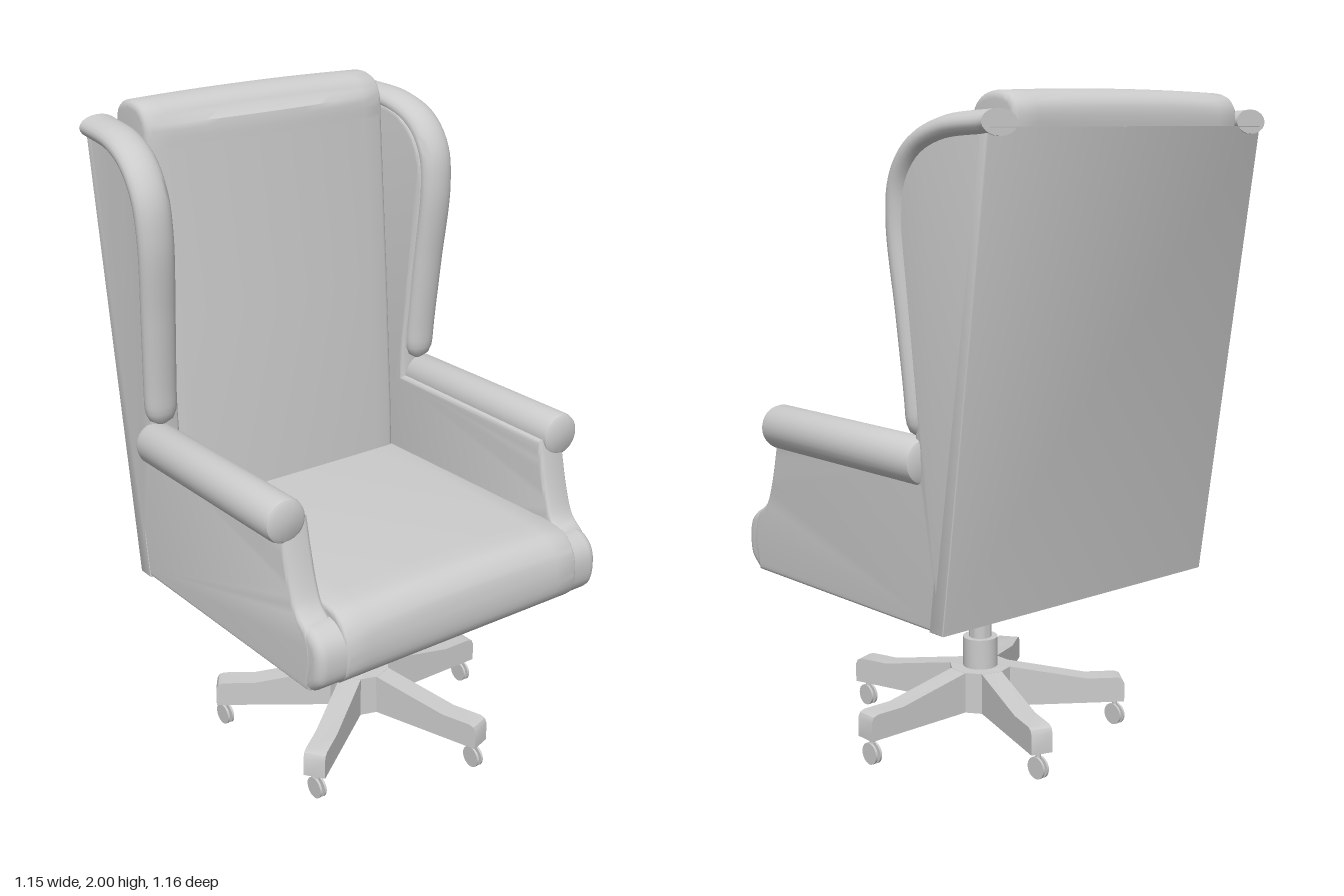
import * as THREE from 'three';
import { toCreasedNormals } from 'three/addons/utils/BufferGeometryUtils.js';

const material = new THREE.MeshStandardMaterial({ color: 0xcccccc });
const BASE_Z = 0.06;

function add(parent, name, geometry) {
  const mesh = new THREE.Mesh(geometry, material);
  mesh.name = name;
  parent.add(mesh);
  return mesh;
}

// Resamples [z, y] points along a smooth curve
const smooth = (pts, n) =>
  new THREE.SplineCurve(pts.map(p => new THREE.Vector2(...p))).getPoints(n).map(v => [v.x, v.y]);

// Extrudes a [z, y] outline across x with rounded edges, then moves vertices by an optional rule
function slab(profile, centreX, width, bevel, steps = 1, rule = null) {
  const shape = new THREE.Shape(profile.map(([z, y]) => new THREE.Vector2(-z, y)));
  const depth = width - 2 * bevel;
  const geometry = new THREE.ExtrudeGeometry(shape, {
    depth, steps, bevelThickness: bevel, bevelSize: bevel, bevelOffset: -bevel, bevelSegments: 4,
  });
  geometry.translate(0, 0, -depth / 2).rotateY(Math.PI / 2).translate(centreX, 0, 0);
  if (rule) {
    const pos = geometry.attributes.position;
    const v = new THREE.Vector3();
    for (let i = 0; i < pos.count; i++) {
      rule(v.fromBufferAttribute(pos, i));
      pos.setXYZ(i, v.x, v.y, v.z);
    }
  }
  return toCreasedNormals(geometry, 0.7);
}

// z of the sloping rear face at height y
const rearZ = y => -0.385 - 0.19 * (y - 0.53) / 1.37;

// Padded roll with an oval section that follows the wing edge
function wingRoll(side) {
  const path = new THREE.CatmullRomCurve3([
    [0.495, 1.06, -0.27], [0.497, 1.15, -0.268], [0.505, 1.4, -0.245], [0.515, 1.65, -0.222],
    [0.517, 1.77, -0.24], [0.513, 1.85, -0.3], [0.503, 1.895, -0.4], [0.488, 1.912, -0.575],
  ].map(([x, y, z]) => new THREE.Vector3(x * side, y, z)));
  const N = 48, M = 20;
  const positions = [], index = [];
  for (let i = 0; i <= N + 1; i++) {
    const t = Math.min(i / N, 1);
    const c = path.getPointAt(t), d = path.getTangentAt(t);
    const len = Math.hypot(d.y, d.z);
    const k = i > N ? 0 : Math.sqrt(1 - (1 - Math.min(1, i / 3)) ** 2);
    const halfWidth = k * (0.052 + 0.01 * t), halfThick = k * 0.035;
    for (let j = 0; j <= M; j++) {
      const a = j / M * Math.PI * 2, o = Math.sin(a) * halfThick / len;
      positions.push(c.x + Math.cos(a) * halfWidth, c.y + d.z * o, c.z - d.y * o);
      if (i <= N && j < M) {
        const p = i * (M + 1) + j, q = p + M + 1;
        index.push(p, p + 1, q, p + 1, q + 1, q);
      }
    }
  }
  const geometry = new THREE.BufferGeometry();
  geometry.setAttribute('position', new THREE.Float32BufferAttribute(positions, 3));
  geometry.setIndex(index);
  return toCreasedNormals(geometry, 0.9);
}

function buildSide(parent, side) {
  const group = new THREE.Group();
  group.name = side > 0 ? 'leftSide' : 'rightSide';
  parent.add(group);

  // Arm panel and wing in one outline, the wing splayed outwards
  const armFront = smooth([[0.515, 0.53], [0.535, 0.63], [0.515, 0.71], [0.465, 0.755],
    [0.435, 0.83], [0.41, 0.93], [0.395, 1.0]], 20);
  const wingEdge = smooth([[-0.27, 1.01], [-0.268, 1.15], [-0.245, 1.4], [-0.222, 1.65],
    [-0.24, 1.77], [-0.3, 1.85], [-0.4, 1.895], [-0.57, 1.912]], 30);
  add(group, 'sidePanel', slab([[-0.385, 0.53], ...armFront, ...wingEdge], side * 0.478, 0.096, 0.015, 1, v => {
    const forward = THREE.MathUtils.clamp((v.z - rearZ(v.y)) / 0.33, 0, 1);
    v.x += side * 0.025 * forward * THREE.MathUtils.clamp((v.y - 1) / 0.6, 0, 1);
  }));
  add(group, 'wingRoll', wingRoll(side));

  // Rolled armrest with softly rounded ends
  const arm = [[0, -0.3], [0.05, -0.3], [0.062, -0.294], [0.067, -0.28],
    [0.067, 0.39], [0.063, 0.403], [0.052, 0.41], [0, 0.41]];
  const roll = new THREE.LatheGeometry(arm.map(p => new THREE.Vector2(...p)), 32);
  roll.rotateX(Math.PI / 2).translate(side * 0.51, 1.003, 0);
  add(group, 'armRoll', toCreasedNormals(roll.toNonIndexed(), 0.7));
}

function buildUpholstery(parent) {
  // Seat with a crowned top and a full-width rolled front
  const seat = smooth([[0.53, 0.53], [0.572, 0.57], [0.58, 0.64], [0.565, 0.7], [0.52, 0.745], [0.44, 0.757]], 20);
  add(parent, 'seatCushion', slab([[-0.38, 0.53], ...seat, [-0.38, 0.75]], 0, 0.868, 0.012, 12, v => {
    if (v.y > 0.68) v.y += 0.012 * (1 - (v.x / 0.434) ** 2);
  }));
  const front = smooth([[0.525, 0.53], [0.567, 0.57], [0.575, 0.64], [0.56, 0.69], [0.52, 0.722], [0.47, 0.728]], 20);
  add(parent, 'seatFrontRoll', slab([[0.4, 0.53], ...front, [0.4, 0.728]], 0, 1.05, 0.03));

  // Back cushion bowed forward, with a rolled top
  const top = smooth([[-0.388, 1.86], [-0.395, 1.93], [-0.425, 1.975], [-0.48, 1.992],
    [-0.54, 1.982], [-0.572, 1.945], [-0.572, 1.88]], 24);
  add(parent, 'backCushion', slab([[-0.375, 0.56], [-0.31, 0.62], [-0.322, 0.9], [-0.35, 1.35], ...top],
    0, 0.862, 0.02, 14, v => {
      const bow = 1 - (v.x / 0.431) ** 2;
      if (v.z > rearZ(v.y) + 0.05 && v.y < 1.94) v.z += 0.025 * bow;
      if (v.y > 1.94) v.y += 0.008 * bow;
    }));
  add(parent, 'backPanel', slab([[-0.387, 0.53], [-0.33, 0.53], [-0.52, 1.9], [-0.577, 1.9]], 0, 1.056, 0.004));
}

function buildBase(parent) {
  const base = new THREE.Group();
  base.name = 'swivelBase';
  base.position.z = BASE_Z;
  parent.add(base);

  // Gas column and flared mount under the seat
  const column = [[0, 0.2], [0.055, 0.2], [0.055, 0.31], [0.036, 0.31], [0.036, 0.465],
    [0.052, 0.468], [0.062, 0.49], [0.1, 0.518], [0.106, 0.535], [0, 0.535]];
  const lathe = new THREE.LatheGeometry(column.map(p => new THREE.Vector2(...p)), 28);
  add(base, 'column', toCreasedNormals(lathe.toNonIndexed(), 0.5));

  const hub = new THREE.CylinderGeometry(0.098, 0.1, 0.13, 10).translate(0, 0.15, 0);
  add(base, 'hub', toCreasedNormals(hub.toNonIndexed(), 0.3));

  // Five sloping legs, each on a twin-wheel caster
  const outline = [[0, 0.085], [0.46, 0.085], [0.46, 0.145], [0.453, 0.16], [0.437, 0.166],
    [0.34, 0.166], [0.09, 0.215], [0, 0.215]];
  const legShape = new THREE.Shape(outline.map(p => new THREE.Vector2(...p)));
  for (let i = 0; i < 5; i++) {
    const angle = i * Math.PI * 2 / 5;
    const leg = new THREE.ExtrudeGeometry(legShape, { depth: 0.068, bevelEnabled: false });
    leg.translate(0, 0, -0.034).rotateY(angle);
    add(base, 'leg', toCreasedNormals(leg, 0.5));

    const caster = new THREE.Group();
    caster.name = 'caster';
    caster.position.set(0.435 * Math.cos(angle), 0, -0.435 * Math.sin(angle));
    base.add(caster);
    add(caster, 'casterStem', new THREE.CylinderGeometry(0.008, 0.008, 0.06, 12)).position.y = 0.065;
    for (const x of [-0.008, 0.008]) {
      const wheel = new THREE.CylinderGeometry(0.034, 0.034, 0.007, 24).rotateZ(Math.PI / 2);
      add(caster, 'casterWheel', wheel).position.set(x, 0.034, 0);
    }
  }
}

export function createModel() {
  const chair = new THREE.Group();
  chair.name = 'wingbackOfficeChair';
  buildUpholstery(chair);
  for (const side of [1, -1]) buildSide(chair, side);
  buildBase(chair);
  return chair;
}
